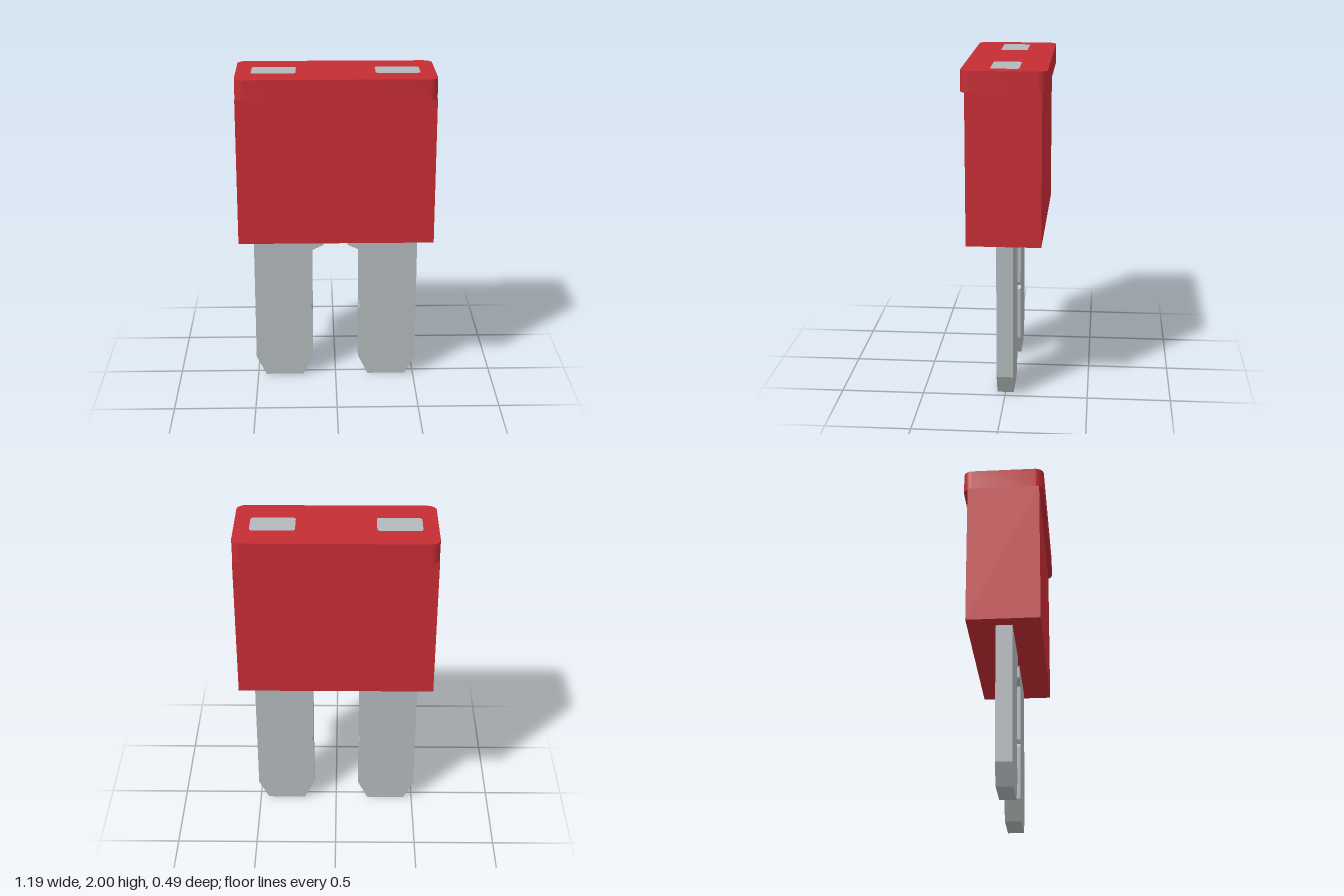
import * as THREE from 'three';
import { toCreasedNormals } from 'three/addons/utils/BufferGeometryUtils.js';

const HALF_WIDTH = 0.595;
const BODY_BOTTOM = 0.975;
const CAP_BOTTOM = 1.875;
const TOP = 2;

// Traces a rounded rectangle centred on (cx, 0)
function roundedRect(path, cx, w, h, r) {
  const x = w / 2 - r, y = h / 2 - r;
  path.absarc(cx + x, y, r, 0, Math.PI / 2);
  path.absarc(cx - x, y, r, Math.PI / 2, Math.PI);
  path.absarc(cx - x, -y, r, Math.PI, Math.PI * 1.5);
  path.absarc(cx + x, -y, r, Math.PI * 1.5, Math.PI * 2);
  path.closePath();
  return path;
}

// Extrudes a plan shape upwards from y0 to y1
function extrudeUp(shape, y0, y1) {
  const geo = new THREE.ExtrudeGeometry(shape, { depth: y1 - y0, bevelEnabled: false, curveSegments: 8 });
  geo.rotateX(-Math.PI / 2).translate(0, y0, 0);
  return toCreasedNormals(geo, Math.PI / 6);
}

export function createModel() {
  const model = new THREE.Group();
  model.name = 'bladeFuse';

  const redPlastic = new THREE.MeshStandardMaterial({ name: 'redPlastic', color: 0xc62c34 });
  const greyMetal = new THREE.MeshStandardMaterial({ name: 'greyMetal', color: 0xb2b8ba });

  const add = (name, geometry, material) => {
    const mesh = new THREE.Mesh(geometry, material);
    mesh.name = name;
    model.add(mesh);
  };

  // Housing block
  const bodyHeight = CAP_BOTTOM - BODY_BOTTOM;
  const body = new THREE.BoxGeometry(HALF_WIDTH * 2, bodyHeight, 0.44);
  body.translate(0, BODY_BOTTOM + bodyHeight / 2, 0);
  add('body', body, redPlastic);

  // Overhanging cap with two openings for the test contacts
  const padX = 0.37, padW = 0.266, padD = 0.166, padR = 0.02;
  const cap = roundedRect(new THREE.Shape(), 0, HALF_WIDTH * 2, 0.494, 0.055);
  for (const s of [1, -1]) cap.holes.push(roundedRect(new THREE.Path(), s * padX, padW, padD, padR));
  add('cap', extrudeUp(cap, CAP_BOTTOM, TOP), redPlastic);

  // Blade outline: inner shoulder, small notch, chamfered tip
  const outline = [
    [0.075, 1.0], [0.075, 0.897], [0.145, 0.865],
    [0.145, 0.507], [0.158, 0.483], [0.145, 0.46],
    [0.145, 0.125], [0.208, 0], [0.447, 0], [0.51, 0.125], [0.51, 1.0],
  ];

  for (const [side, s] of [['left', 1], ['right', -1]]) {
    // Test contact, flush with the top of the cap
    const pad = roundedRect(new THREE.Shape(), s * padX, padW, padD, padR);
    add(side + 'TestContact', extrudeUp(pad, CAP_BOTTOM, TOP), greyMetal);

    // Flat metal blade
    const shape = new THREE.Shape(outline.map(([x, y]) => new THREE.Vector2(s * x, y)));
    const blade = new THREE.ExtrudeGeometry(shape, { depth: 0.1, bevelEnabled: false });
    blade.translate(0, 0, -0.05);
    add(side + 'Blade', blade, greyMetal);
  }

  return model;
}
